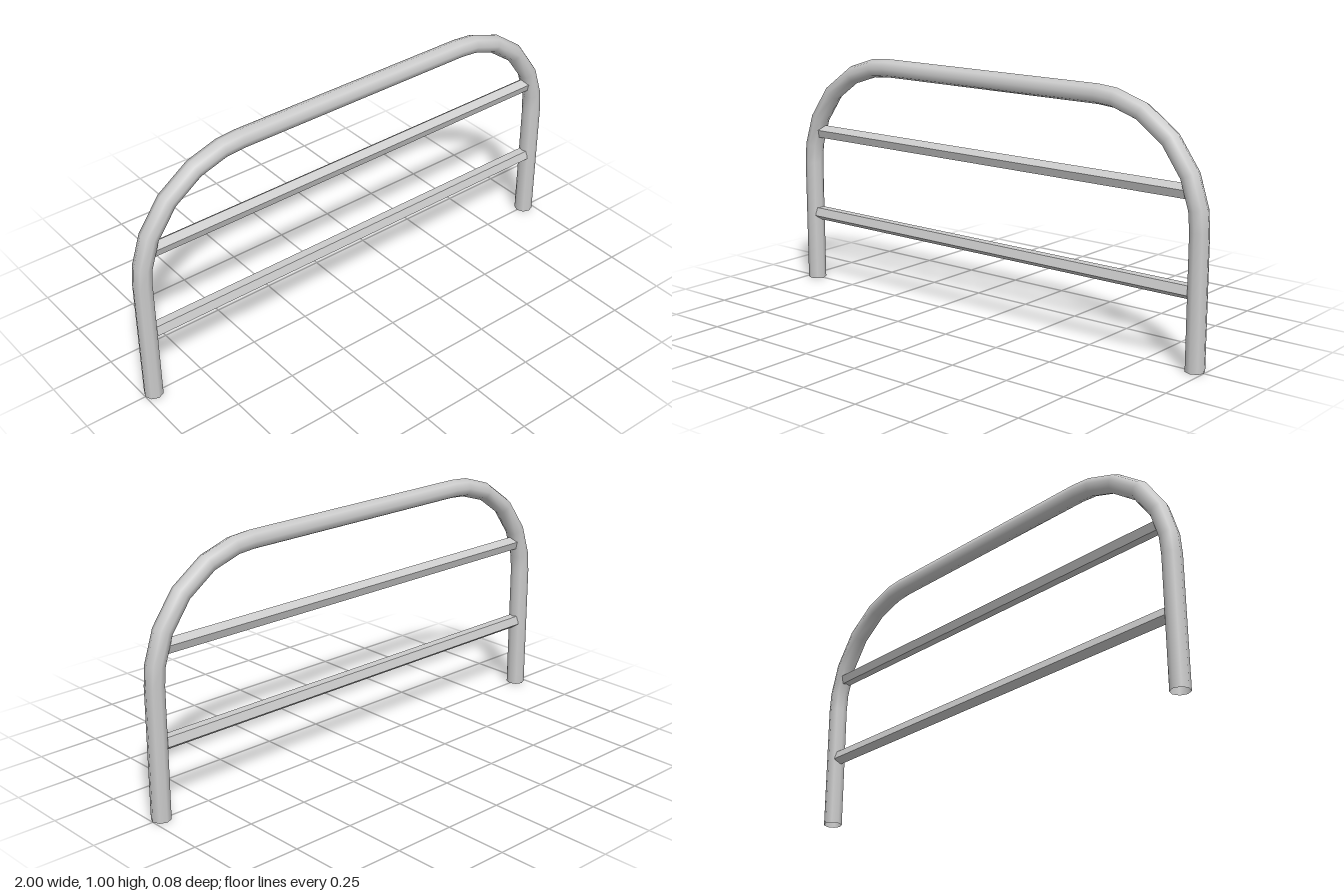
import * as THREE from 'three';

const TUBE_R = 0.0375, SIDES = 8;
const BEND_R = 0.4425, BEND_X = 0.52, BEND_Y = 0.515;

// Centre line from the left foot over the top to the right foot: [x, y, direction of the outer side]
function archPath() {
  const half = [[BEND_X + BEND_R, 0, 0]];
  for (const deg of [0, 10, 26, 45, 64, 80, 90]) {
    const a = THREE.MathUtils.degToRad(deg);
    half.push([BEND_X + BEND_R * Math.cos(a), BEND_Y + BEND_R * Math.sin(a), a]);
  }
  const mirrored = half.map(([x, y, a]) => [-x, y, Math.PI - a]).reverse();
  return [...half, ...mirrored];
}

// Open cylinder whose rings are moved onto the path
function bentTube(path) {
  const rows = path.length - 1;
  const geo = new THREE.CylinderGeometry(TUBE_R, TUBE_R, rows, SIDES, rows, true);
  const pos = geo.attributes.position, nor = geo.attributes.normal;
  for (let i = 0; i < pos.count; i++) {
    const [x, y, a] = path[Math.round(pos.getY(i) + rows / 2)];
    const out = pos.getX(i), z = pos.getZ(i);
    pos.setXYZ(i, x + out * Math.cos(a), y + out * Math.sin(a), z);
    nor.setXYZ(i, out * Math.cos(a) / TUBE_R, out * Math.sin(a) / TUBE_R, z / TUBE_R);
  }
  return geo;
}

// Five-sided horizontal bar, with its ridge up or down
function crossBar(name, y, radius, halfLength, ridgeUp, material) {
  const geo = new THREE.CylinderGeometry(radius, radius, halfLength * 2, 5);
  geo.rotateY(ridgeUp ? Math.PI / 2 : -Math.PI / 2);
  geo.rotateZ(Math.PI / 2);
  const mesh = new THREE.Mesh(geo, material);
  mesh.name = name;
  mesh.position.y = y;
  return mesh;
}

export function createModel() {
  const group = new THREE.Group();
  group.name = 'tubularBarrier';

  // Main bent tube, open at both feet
  const arch = new THREE.Mesh(
    bentTube(archPath()),
    new THREE.MeshStandardMaterial({ color: 0xcccccc, side: THREE.DoubleSide })
  );
  arch.name = 'archFrame';
  group.add(arch);

  // Two thinner cross bars
  const barMaterial = new THREE.MeshStandardMaterial({ color: 0xcccccc, flatShading: true });
  group.add(
    crossBar('upperBar', 0.651, 0.029, 0.915, true, barMaterial),
    crossBar('lowerBar', 0.292, 0.03, 0.935, false, barMaterial)
  );
  return group;
}
